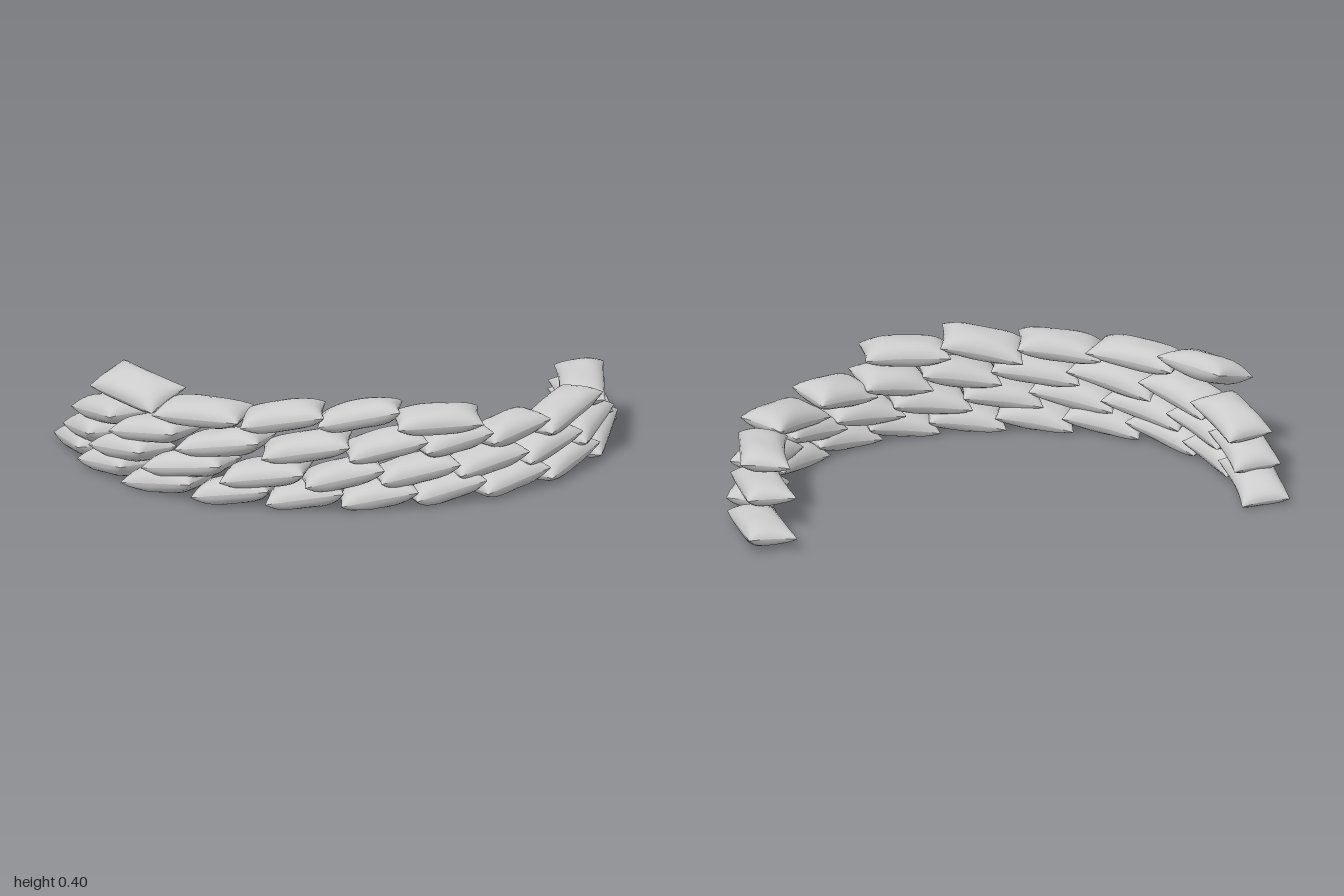
import * as THREE from 'three';
import { mergeGeometries } from 'three/addons/utils/BufferGeometryUtils.js';

const material = new THREE.MeshStandardMaterial({ color: 0xcccccc, side: THREE.DoubleSide });

// Small repeatable variation between -1 and 1
const vary = (n) => {
  const s = Math.sin(n * 12.9898 + 4.1) * 43758.5453;
  return (s - Math.floor(s)) * 2 - 1;
};

// One half of a filled bag: a sheet that swells from the seam, with corners drawn out
function bagHalf(length, width, swell, seed) {
  const g = new THREE.PlaneGeometry(2, 2, 16, 12);
  const p = g.attributes.position;
  for (let i = 0; i < p.count; i++) {
    const u = Math.sin((p.getX(i) * Math.PI) / 2);
    const v = Math.sin((-p.getY(i) * Math.PI) / 2);
    const x = u * (length / 2) * (1 - 0.06 * (1 - v * v));
    const z = v * (width / 2) * (1 - 0.09 * (1 - u * u)) - 0.28 * x * x;
    const fill = Math.sqrt((1 - Math.abs(u) ** 3) * (1 - Math.abs(v) ** 2.5));
    const lump = 1 + 0.07 * Math.sin(4 * u + seed) * Math.cos(3 * v + seed);
    p.setXYZ(i, x, swell * fill * lump, z);
  }
  if (swell < 0) {
    const index = g.index.array;
    for (let i = 0; i < index.length; i += 3) {
      [index[i], index[i + 1]] = [index[i + 1], index[i]];
    }
  }
  return g;
}

// A whole bag, set at a point with its heading, pitch and roll
function makeBag({ position, heading, pitch, roll, length, width, seed, top, bottom }) {
  const placement = new THREE.Matrix4()
    .makeRotationFromEuler(new THREE.Euler(roll, heading, pitch, 'YZX'))
    .setPosition(position);
  const halves = [bagHalf(length, width, top, seed), bagHalf(length, width, -bottom, seed)];
  const g = mergeGeometries(halves).applyMatrix4(placement);
  // Bags settle flat on the ground
  const p = g.attributes.position;
  for (let i = 0; i < p.count; i++) p.setY(i, Math.max(0, p.getY(i)));
  g.computeVertexNormals();
  return new THREE.Mesh(g, material);
}

// Courses from bottom to top: seam height and the plan points [x, z] where bags meet
const courses = [
  {
    name: 'bottomCourse', y: 0.043,
    path: [[-0.915, -0.3], [-0.85, -0.03], [-0.73, 0.17], [-0.52, 0.345], [-0.28, 0.43], [-0.03, 0.46],
      [0.22, 0.445], [0.45, 0.385], [0.66, 0.25], [0.83, 0.03], [0.9, -0.27], [0.855, -0.56]],
  },
  {
    name: 'secondCourse', y: 0.124,
    path: [[-0.89, -0.18], [-0.82, 0.04], [-0.67, 0.24], [-0.43, 0.395], [-0.16, 0.475], [0.1, 0.46],
      [0.36, 0.405], [0.59, 0.29], [0.77, 0.12], [0.88, -0.13], [0.84, -0.405]],
  },
  {
    name: 'thirdCourse', y: 0.215,
    path: [[-0.865, -0.12], [-0.76, 0.11], [-0.57, 0.31], [-0.3, 0.43], [-0.01, 0.455], [0.25, 0.425],
      [0.47, 0.355], [0.66, 0.23], [0.84, -0.01], [0.86, -0.32]],
  },
  {
    name: 'topCourse', y: 0.32,
    path: [[-0.82, 0.03], [-0.64, 0.25], [-0.37, 0.39], [-0.1, 0.42], [0.17, 0.44], [0.45, 0.43]],
    lift: [0.022, -0.007, 0, 0.006, -0.015],
    pitch: [-0.08, 0.05, 0.14, 0.2, 0.03],
    roll: [0.33, 0.05, 0, -0.1, 0.05],
  },
];

export function createModel() {
  const wall = new THREE.Group();
  wall.name = 'sandbagWall';
  courses.forEach((course, c) => {
    const group = new THREE.Group();
    group.name = course.name;
    const curve = new THREE.CatmullRomCurve3(course.path.map(([x, z]) => new THREE.Vector3(x, 0, z)));
    const count = course.path.length - 1;
    for (let i = 0; i < count; i++) {
      const [a, b] = [curve.points[i], curve.points[i + 1]];
      const seed = c * 17 + i + 1;
      const last = i === count - 1;
      // Sit between the chord and the arc so the bent bag follows the path
      const position = a.clone().add(b).multiplyScalar(0.5).lerp(curve.getPoint((i + 0.5) / count), 0.7);
      position.y = course.y + (course.lift?.[i] ?? 0.004 * vary(seed));
      const bag = makeBag({
        position,
        heading: Math.atan2(a.z - b.z, b.x - a.x) + 0.03 * vary(seed + 5),
        pitch: course.pitch?.[i] ?? (last ? 0.08 : 0.17 + 0.03 * vary(seed + 9)),
        roll: course.roll?.[i] ?? -0.05 + 0.06 * vary(seed + 13),
        length: a.distanceTo(b) * 0.94 + 0.045,
        width: 0.176,
        top: 0.05,
        bottom: 0.048,
        seed,
      });
      bag.name = 'sandbag';
      group.add(bag);
    }
    wall.add(group);
  });
  return wall;
}
